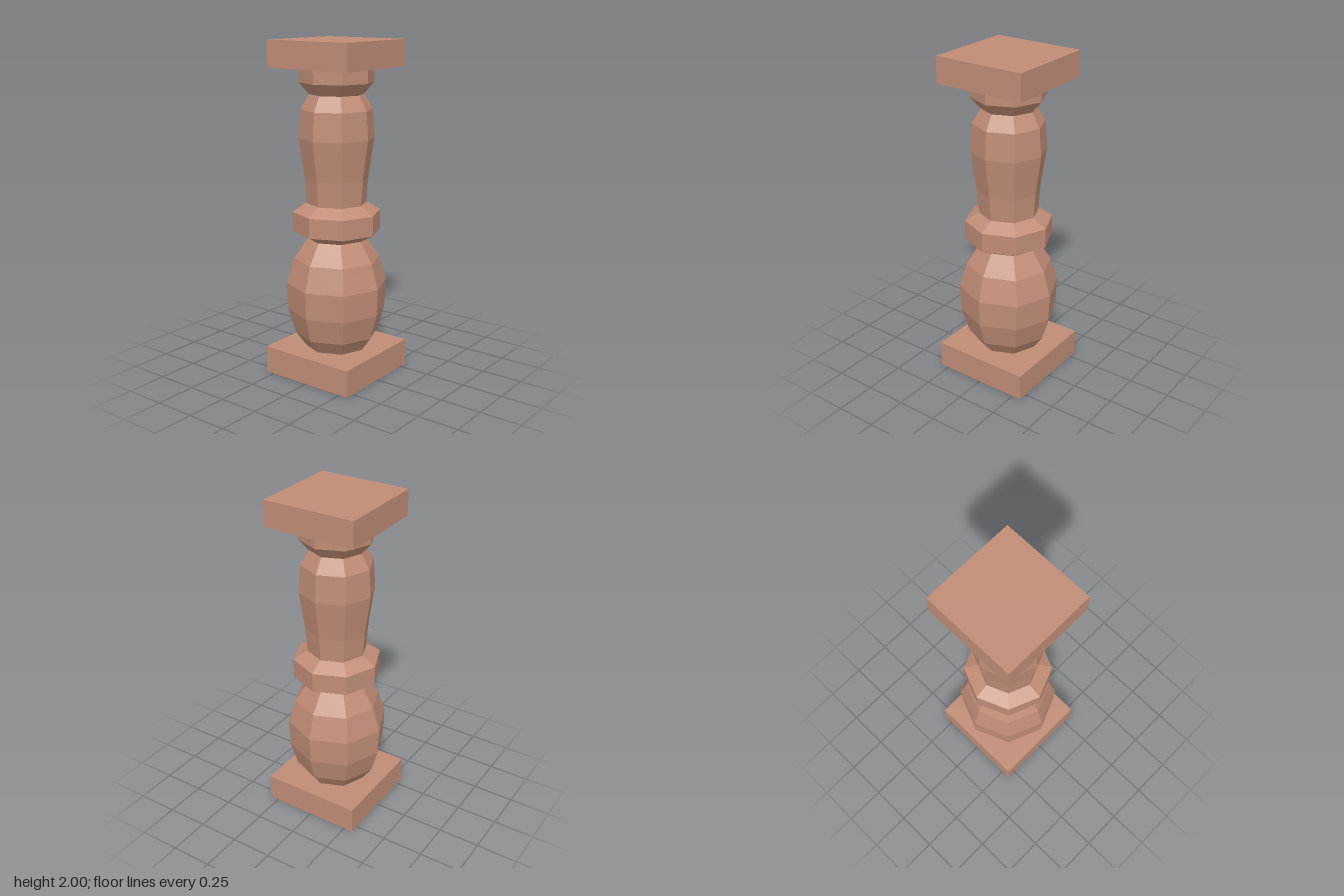
import * as THREE from 'three';

export function createModel() {
  const group = new THREE.Group();
  group.name = 'baluster';

  const terracotta = new THREE.MeshStandardMaterial({ color: 0xc08c76 });
  terracotta.name = 'terracotta';
  terracotta.flatShading = true;

  const add = (name, geometry, y = 0) => {
    const mesh = new THREE.Mesh(geometry, terracotta);
    mesh.name = name;
    mesh.position.y = y;
    group.add(mesh);
  };

  // Square slab between two heights
  const slab = (name, width, y0, y1) =>
    add(name, new THREE.BoxGeometry(width, y1 - y0, width), (y0 + y1) / 2);

  // Eight-sided turned section from [radius, height] pairs
  const turned = (name, profile) =>
    add(name, new THREE.LatheGeometry(profile.map(([r, y]) => new THREE.Vector2(r, y)), 8));

  slab('base', 0.61, 0, 0.163);
  turned('belly', [[0.19, 0.163], [0.252, 0.25], [0.295, 0.4], [0.302, 0.565], [0.257, 0.715], [0.175, 0.838]]);
  turned('collar', [[0.175, 0.838], [0.262, 0.885], [0.262, 1.003], [0.178, 1.053]]);
  turned('shaft', [[0.178, 1.053], [0.188, 1.2], [0.223, 1.44], [0.211, 1.605], [0.16, 1.692]]);
  turned('neck', [[0.16, 1.692], [0.218, 1.76], [0.218, 1.845]]);
  slab('capital', 0.563, 1.845, 2);

  return group;
}
